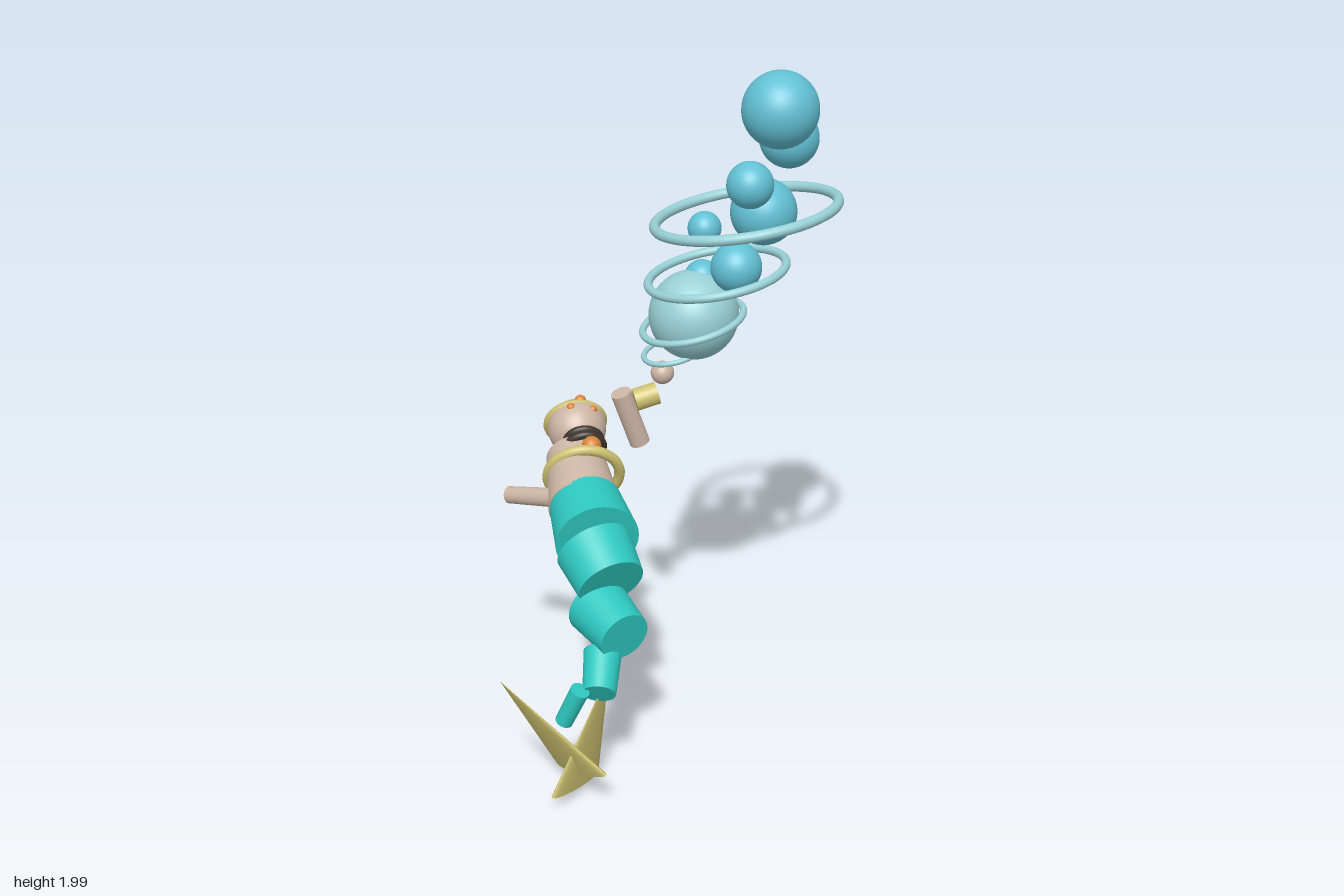
import * as THREE from 'three';

const makeMaterial = (name, color, side = THREE.FrontSide) => {
  const m = new THREE.MeshStandardMaterial({ color, side });
  m.name = name;
  return m;
};

export function createModel() {
  const group = new THREE.Group();
  const V = (p) => new THREE.Vector3(...p);
  const UP = new THREE.Vector3(0, 1, 0);
  const FORWARD = new THREE.Vector3(0, 0, 1);

  const bubbleBlue = makeMaterial('bubbleBlue', 0x62c0d4);
  const paleWater = makeMaterial('paleWater', 0x98d0d6);
  const teal = makeMaterial('teal', 0x2ec8c0);
  const skin = makeMaterial('skin', 0xccb5a4);
  const gold = makeMaterial('gold', 0xcfc272);
  const orange = makeMaterial('orange', 0xd9853b);
  const darkBrown = makeMaterial('darkBrown', 0x3d352f);

  const add = (name, geometry, material) => {
    const mesh = new THREE.Mesh(geometry, material);
    mesh.name = name;
    group.add(mesh);
    return mesh;
  };
  const ball = (name, p, r, material) =>
    add(name, new THREE.SphereGeometry(r, 40, 28), material).position.set(...p);

  // Tapered cylinder from point a to point b
  const rod = (name, a, b, ra, rb, material) => {
    const dir = V(b).sub(V(a));
    const mesh = add(name, new THREE.CylinderGeometry(rb, ra, dir.length(), 36), material);
    mesh.position.copy(V(a)).add(V(b)).multiplyScalar(0.5);
    mesh.quaternion.setFromUnitVectors(UP, dir.normalize());
  };
  // Torus around the given axis
  const hoop = (name, p, axis, r, tube, material) => {
    const mesh = add(name, new THREE.TorusGeometry(r, tube, 14, 72), material);
    mesh.position.set(...p);
    mesh.quaternion.setFromUnitVectors(FORWARD, V(axis).normalize());
  };

  // Column of bubbles
  [
    [0.304, 1.893, 0.246, 0.108],
    [0.407, 1.782, 0.195, 0.085],
    [0.258, 1.675, 0.183, 0.067],
    [0.351, 1.57, 0.156, 0.096],
    [0.261, 1.42, 0.136, 0.074],
    [0.257, 1.51, 0.015, 0.049],
    [0.283, 1.345, -0.015, 0.053],
  ].forEach(([x, y, z, r]) => ball('bubble', [x, y, z], r, bubbleBlue));
  ball('waterOrb', [0.24, 1.243, -0.007], 0.133, paleWater);

  // Tilted water rings, widening upward
  hoop('waterRing', [0.325, 1.562, 0.112], [-0.067, 1, -0.16], 0.265, 0.0155, paleWater);
  hoop('waterRing', [0.28, 1.375, 0.045], [-0.114, 1, -0.137], 0.203, 0.013, paleWater);
  hoop('waterRing', [0.24, 1.222, -0.01], [-0.19, 1, -0.15], 0.152, 0.0105, paleWater);
  hoop('waterRing', [0.21, 1.123, -0.06], [-0.2, 1, -0.13], 0.09, 0.008, paleWater);

  // Raised arm with cuff and hand
  rod('raisedArm', [0.153, 0.815, -0.143], [0.096, 0.988, -0.167], 0.031, 0.031, skin);
  rod('wristCuff', [0.122, 0.967, -0.133], [0.178, 0.985, -0.094], 0.034, 0.034, gold);
  ball('hand', [0.19, 1.05, -0.085], 0.035, skin);

  // Trailing arm
  rod('trailingArm', [-0.172, 0.735, -0.16], [-0.203, 0.692, -0.345], 0.029, 0.026, skin);

  // Torso, neck and head
  rod('torso', [-0.135, 0.72, -0.09], [-0.02, 0.79, -0.25], 0.107, 0.086, skin);
  rod('neck', [-0.02, 0.79, -0.25], [0.04, 0.845, -0.3], 0.06, 0.055, skin);
  ball('head', [0.04, 0.848, -0.3], 0.089, skin);
  hoop('headBand', [0.062, 0.85, -0.33], [0.54, 0.42, -0.72], 0.082, 0.016, gold);
  hoop('chestBand', [-0.045, 0.758, -0.185], [0.6, 0.38, -0.72], 0.108, 0.016, gold);

  // Necklaces and orange beads
  hoop('necklace', [-0.012, 0.828, -0.214], [0.55, 0.4, -0.72], 0.056, 0.012, darkBrown);
  hoop('necklace', [0.006, 0.836, -0.238], [0.55, 0.4, -0.72], 0.052, 0.012, darkBrown);
  ball('pendant', [-0.033, 0.858, -0.162], 0.029, orange);
  ball('headBead', [0.065, 0.928, -0.31], 0.018, orange);
  ball('headBead', [0.012, 0.927, -0.296], 0.013, orange);
  ball('headBead', [0.065, 0.915, -0.256], 0.013, orange);

  // Tail segments, shrinking toward the fins
  [
    [[-0.13, 0.72, -0.09], [-0.215, 0.685, 0.045], 0.108, 0.123],
    [[-0.22, 0.66, 0.035], [-0.26, 0.6, 0.145], 0.113, 0.099],
    [[-0.265, 0.512, 0.09], [-0.302, 0.482, 0.24], 0.092, 0.076],
    [[-0.325, 0.415, 0.175], [-0.41, 0.345, 0.245], 0.055, 0.048],
    [[-0.46, 0.368, 0.22], [-0.475, 0.25, 0.168], 0.028, 0.026],
  ].forEach(([a, b, ra, rb]) => rod('tailSegment', a, b, ra, rb, teal));

  // Flattened cone fins, from a tip and the two ends of the wide edge
  const fin = (tip, e1, e2) => {
    const mid = V(e1).add(V(e2)).multiplyScalar(0.5);
    const half = V(e2).sub(mid);
    const axis = V(tip).sub(mid);
    const normal = half.clone().cross(axis).normalize().multiplyScalar(0.019);
    const geometry = new THREE.ConeGeometry(1, 1, 48).translate(0, 0.5, 0);
    geometry.applyMatrix4(new THREE.Matrix4().makeBasis(half, axis, normal).setPosition(mid));
    add('tailFin', geometry, gold);
  };
  fin([-0.357, 0.39, 0.232], [-0.57, 0.057, 0.215], [-0.33, 0.007, 0.155]);
  fin([-0.608, 0.39, 0.05], [-0.428, 0.05, 0.085], [-0.464, 0.135, 0.325]);

  return group;
}
